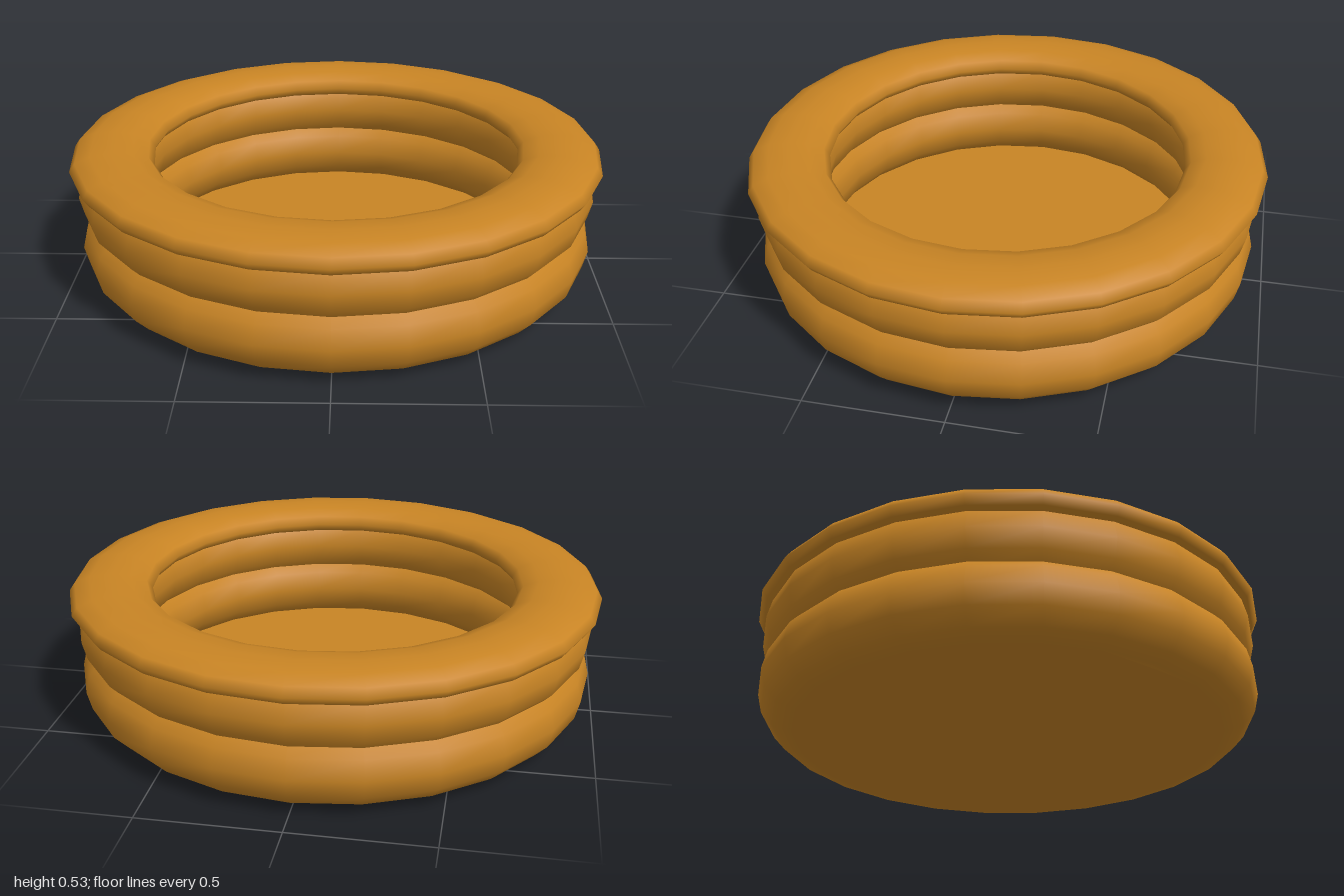
import * as THREE from 'three';

const RING = 0.845;   // radius of the ring centre line
const DEPTH = 0.97;   // the pool is slightly shorter front to back
const SIDES = 24;

export function createModel() {
  const group = new THREE.Group();
  const material = new THREE.MeshStandardMaterial({ color: 0xc88424, side: THREE.DoubleSide });

  function add(name, geometry) {
    const mesh = new THREE.Mesh(geometry, material);
    mesh.name = name;
    group.add(mesh);
  }

  // Inflated ring with an elliptical tube: half width, half height, centre height
  function ring(name, halfWidth, halfHeight, y) {
    const g = new THREE.TorusGeometry(RING, halfWidth, 12, SIDES);
    g.rotateX(-Math.PI / 2);
    g.scale(1, halfHeight / halfWidth, DEPTH);
    g.translate(0, y, 0);
    add(name, g);
  }
  ring('lowerRing', 0.13, 0.14, 0.158);
  ring('middleRing', 0.13, 0.14, 0.361);
  ring('topRing', 0.155, 0.06, 0.468);

  // Thin floor, sagging at one rim corner
  const floor = new THREE.CircleGeometry(0.84, SIDES);
  floor.rotateX(-Math.PI / 2);
  floor.scale(1, 1, DEPTH);
  floor.translate(0, 0.017, 0);
  const sagVertex = 1 + SIDES * 5 / 8; // front right
  floor.attributes.position.setY(sagVertex, 0);
  add('floor', floor);

  return group;
}
